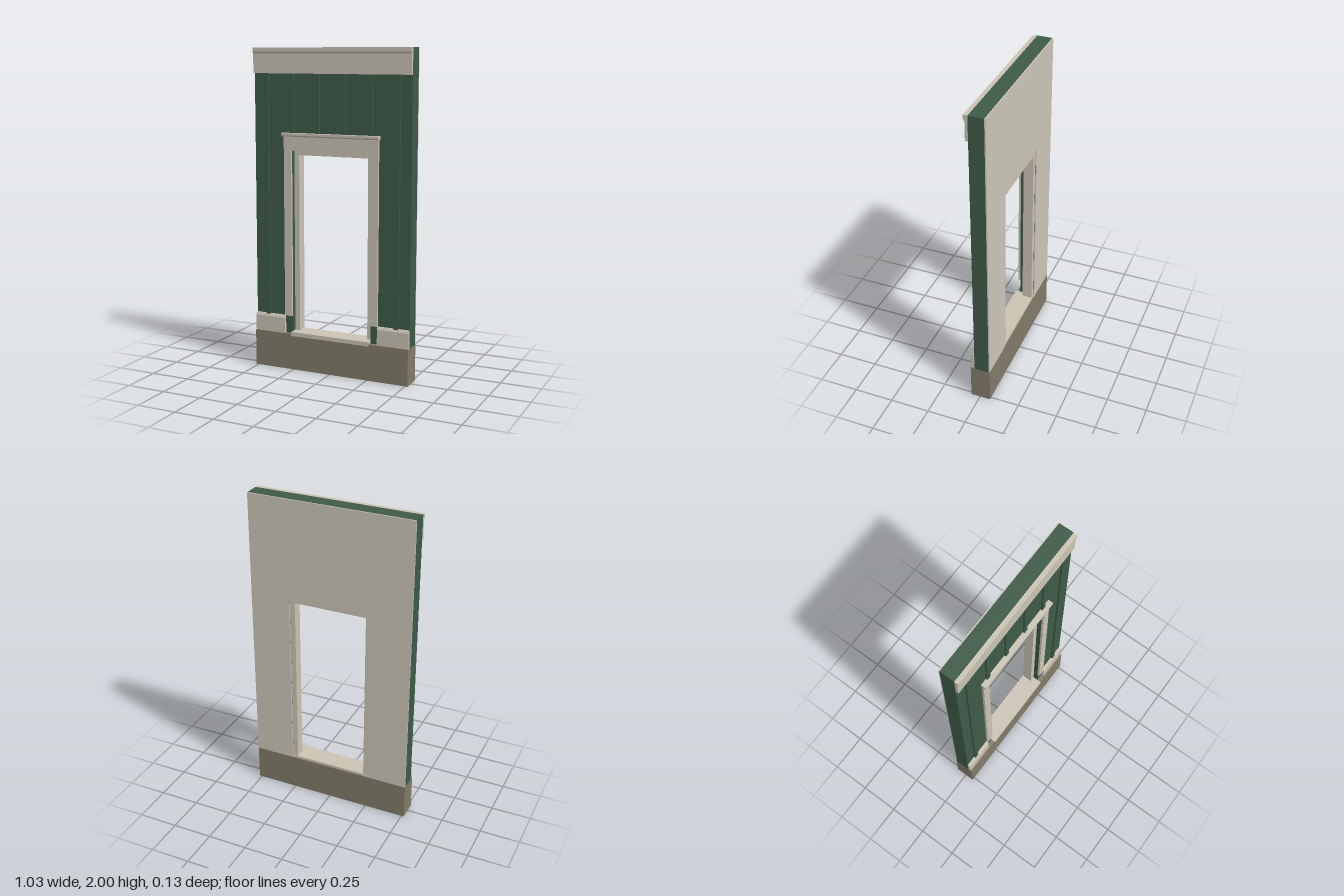
import * as THREE from 'three';

const W = 0.517;               // half width of the panel
const BASE = 0.228;            // top of the foundation
const OPEN = 0.263, HEAD = 1.38; // rough opening half width and head height

export function createModel() {
  const model = new THREE.Group();
  model.name = 'doorWallPanel';
  const mat = (name, color) => {
    const m = new THREE.MeshStandardMaterial({ color });
    m.name = name;
    return m;
  };
  const green = mat('green siding', 0x3d5a48);
  const trim = mat('cream trim', 0xcbc4b4);
  const plaster = mat('interior plaster', 0xcdc7b9);
  const stone = mat('foundation stone', 0x827b6a);

  const add = (name, geometry, material) => {
    const mesh = new THREE.Mesh(geometry, material);
    mesh.name = name;
    model.add(mesh);
    return mesh;
  };
  // Box given by its limits on each axis
  const box = (name, x0, x1, y0, y1, z0, z1, material) => {
    const g = new THREE.BoxGeometry(x1 - x0, y1 - y0, z1 - z0);
    g.translate((x0 + x1) / 2, (y0 + y1) / 2, (z0 + z1) / 2);
    return add(name, g, material);
  };
  // Upside-down U around a doorway, extruded from z0 to z1
  const arch = (name, outer, top, inner, head, bottom, z0, z1, material) => {
    const s = new THREE.Shape([
      [-outer, bottom], [-inner, bottom], [-inner, head], [inner, head],
      [inner, bottom], [outer, bottom], [outer, top], [-outer, top],
    ].map(([x, y]) => new THREE.Vector2(x, y)));
    const g = new THREE.ExtrudeGeometry(s, { depth: z1 - z0, bevelEnabled: false });
    g.translate(0, 0, z0);
    return add(name, g, material);
  };
  // Moulding: a [z, y] profile run along x
  const moulding = (name, profile, x0, x1, material) => {
    const s = new THREE.Shape(profile.map(([z, y]) => new THREE.Vector2(-z, y)));
    const g = new THREE.ExtrudeGeometry(s, { depth: x1 - x0, bevelEnabled: false });
    g.rotateY(Math.PI / 2);
    g.translate(x0, 0, 0);
    return add(name, g, material);
  };

  // Foundation and wall layers
  box('foundation', -W, W, 0, BASE, -0.068, 0.058, stone);
  arch('sidingWall', W, 2, OPEN, HEAD, BASE, -0.061, 0.032, green);
  arch('interiorPlaster', W, 2, OPEN, HEAD, BASE, -0.068, -0.061, plaster);

  // Vertical battens, the middle four stopping above the door
  for (let i = 0; i < 6; i++) {
    const x = (i - 2.5) * 0.173;
    const bottom = i === 0 || i === 5 ? 0.335 : 1.48;
    box('batten', x - 0.014, x + 0.014, bottom, 1.85, 0.03, 0.044, green);
  }

  // Frieze with a crown along the top edge
  moulding('frieze', [
    [0.032, 1.845], [0.05, 1.845], [0.05, 1.964], [0.058, 1.976], [0.058, 2], [0.032, 2],
  ], -W, W, trim);

  // Baseboards with a sloped top, either side of the door
  const board = [[0.032, BASE], [0.05, BASE], [0.05, 0.325], [0.042, 0.341], [0.032, 0.341]];
  moulding('baseboardRight', board, -W, -0.313, trim);
  moulding('baseboardLeft', board, 0.313, W, trim);

  // Door casing, head cap, recessed frame and sill
  arch('doorCasing', 0.313, 1.466, OPEN, HEAD, 0.341, 0.032, 0.046, trim);
  moulding('headCap', [
    [0.032, 1.466], [0.058, 1.466], [0.066, 1.474], [0.066, 1.488], [0.032, 1.488],
  ], -0.319, 0.319, trim);
  arch('doorFrame', OPEN, HEAD, 0.23, 1.35, BASE, -0.06, 0.003, trim);
  box('sill', -OPEN, OPEN, 0.217, 0.243, -0.064, 0.062, trim);

  return model;
}
